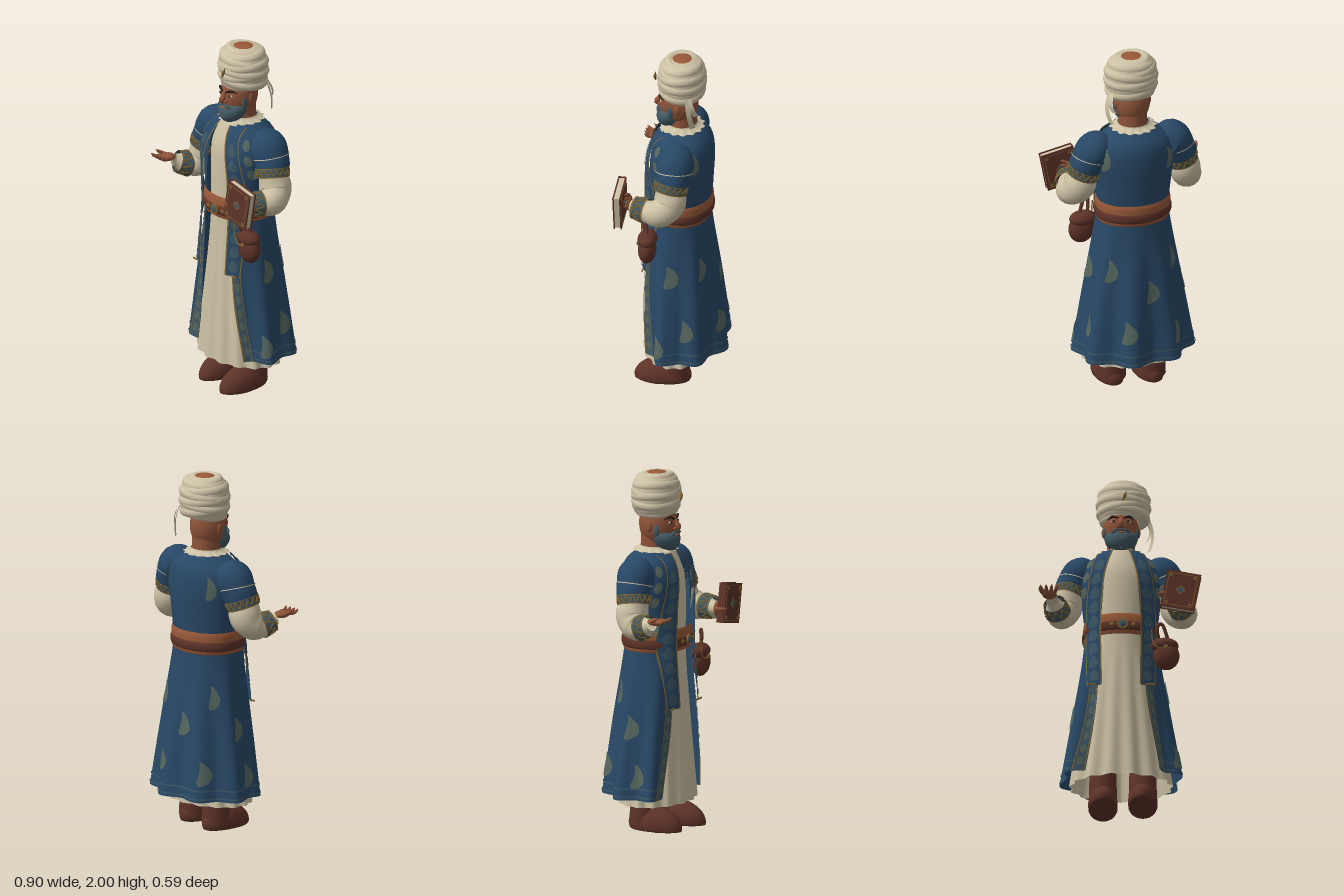
import * as THREE from 'three';
import { mergeVertices } from 'three/addons/utils/BufferGeometryUtils.js';

const V = (x, y, z) => new THREE.Vector3(x, y, z);
const mat = (name, color) => Object.assign(new THREE.MeshStandardMaterial({ color, side: THREE.DoubleSide }), { name });
const both = f => [-1, 1].forEach(f);

// Smooth lookup in rows of [y, value, value, ...]
function look(rows, y, k = 1) {
  const n = rows.length - 1;
  let i = 0;
  while (i < n - 1 && y > rows[i + 1][0]) i++;
  const slope = j => {
    const p = rows[Math.max(0, j - 1)], q = rows[Math.min(n, j + 1)];
    return (q[k] - p[k]) / (q[0] - p[0]);
  };
  const a = rows[i], b = rows[i + 1], h = b[0] - a[0];
  const t = THREE.MathUtils.clamp((y - a[0]) / h, 0, 1), u = 1 - t;
  return a[k] * (1 + 2 * t) * u * u + slope(i) * h * t * u * u + b[k] * t * t * (3 - 2 * t) - slope(i + 1) * h * t * t * u;
}

// Coat rows: y, half width, back depth, front depth, half opening
const COAT = [[0.2, 0.325, 0.25, 0.2, 0.21], [0.6, 0.265, 0.21, 0.2, 0.14], [1, 0.205, 0.16, 0.19, 0.115],
  [1.1, 0.2, 0.16, 0.19, 0.11], [1.25, 0.215, 0.168, 0.185, 0.1], [1.4, 0.23, 0.174, 0.175, 0.09],
  [1.5, 0.2, 0.155, 0.14, 0.08], [1.57, 0.1, 0.09, 0.09, 0.06]];
const GOWN = [[0.15, 0.28, 0.187], [0.6, 0.215, 0.165], [1, 0.165, 0.15], [1.4, 0.165, 0.145], [1.52, 0.12, 0.11], [1.58, 0.08, 0.08]];

// Point on the coat: angle a runs from the back (0) to the front (pi)
function coat(a, y, off = 0) {
  const s = Math.sin(a), c = -Math.cos(a);
  const w = off + Math.max(0, 1 - y) * 0.03 * Math.cos(8 * (a - 0.25));
  const z = c > 0 ? look(COAT, y, 3) * c ** 0.75 : look(COAT, y, 2) * c;
  return V(s * (look(COAT, y) + w), y, z - 0.03 + c * w);
}
const edge = y => Math.PI - Math.asin(look(COAT, y, 4) / look(COAT, y));
function frontZ(x, y) {
  const s = Math.min(0.95, Math.abs(x) / look(COAT, y));
  return look(COAT, y, 3) * Math.sqrt(1 - s * s) ** 0.75 - 0.03;
}

// Move each vertex of a geometry by a rule
function shape(g, f) {
  const p = g.attributes.position;
  for (let i = 0; i < p.count; i++) p.setXYZ(i, ...f(p.getX(i), p.getY(i), p.getZ(i), i).toArray());
  g.computeVertexNormals();
  return g;
}
const sheet = (f, nu, nv) => shape(new THREE.PlaneGeometry(1, 1, nu, nv), (x, y) => f(x + 0.5, y + 0.5));
const leaf = f => shape(new THREE.RingGeometry(0.02, 1, 18, 5), f);

// Tube whose radius follows a list
function limb(points, radii, n = 24, sides = 18) {
  const curve = new THREE.CatmullRomCurve3(points.map(p => V(...p)));
  const g = new THREE.TubeGeometry(curve, n, 1, sides);
  g.deleteAttribute('uv');
  shape(g, (x, y, z, i) => {
    const t = Math.floor(i / (sides + 1)) / n, c = curve.getPointAt(t);
    const f = t * (radii.length - 1), j = Math.min(radii.length - 2, Math.floor(f));
    return V(x, y, z).sub(c).multiplyScalar(THREE.MathUtils.lerp(radii[j], radii[j + 1], THREE.MathUtils.smoothstep(f - j, 0, 1))).add(c);
  });
  g.deleteAttribute('normal');
  const m = mergeVertices(g, 1e-5);
  m.computeVertexNormals();
  return m;
}
// Zigzag cord running round a sleeve from a to b
function zigzag(a, b, ra, rb, count) {
  const d = b.clone().sub(a), e = V(0, 0, 1).cross(d).normalize(), f = d.clone().cross(e).normalize();
  const pts = Array.from({ length: count * 2 }, (_, i) => {
    const t = i / count * Math.PI, k = i % 2 ? 0.8 : 0.2, r = ra + (rb - ra) * k;
    return a.clone().addScaledVector(d, k).addScaledVector(e, r * Math.cos(t)).addScaledVector(f, r * Math.sin(t));
  });
  return new THREE.TubeGeometry(new THREE.CatmullRomCurve3(pts, true), count * 8, 0.0045, 5, true);
}
const ball = (x, y, z, a, b, c) => new THREE.SphereGeometry(1, 28, 20).scale(a, b, c).translate(x, y, z);
const box = (x, y, z, a, b, c) => new THREE.BoxGeometry(a, b, c).translate(x, y, z);

export function createModel() {
  const root = new THREE.Group();
  const cream = mat('cream cloth', 0xcdc2a5), blue = mat('blue cloth', 0x284866), pattern = mat('patterned trim', 0x3d5765);
  const gold = mat('gold', 0x80642e), skin = mat('skin', 0x8e5339), leather = mat('tan leather', 0x985838);
  const brown = mat('brown leather', 0x5e3328), hair = mat('grey beard', 0x435a64), dark = mat('dark', 0x241c1a), faded = mat('faded motif', 0x56675f);
  const add = (name, g, m, parent = root) => {
    const mesh = new THREE.Mesh(g, m);
    mesh.name = name;
    parent.add(mesh);
    return mesh;
  };

  // Gown, coat and hem lines
  add('gown', sheet((u, v) => {
    const a = u * Math.PI * 2, y = 0.155 + v * 1.425, w = Math.max(0, 1 - y) * 0.011 * Math.cos(15 * a);
    return V(Math.sin(a) * (look(GOWN, y) + w), y, -0.01 - Math.cos(a) * (look(GOWN, y, 2) + w));
  }, 120, 40), cream);
  add('coat', sheet((u, v) => coat((u * 2 - 1) * edge(0.2 + v * 1.37), 0.2 + v * 1.37), 120, 70), blue);
  for (const y of [0.215, 0.26]) add('hemLine', sheet((u, v) => coat((u * 2 - 1) * edge(y), y + v * 0.008, 0.004), 120, 1), pattern);
  // Leaf motifs on the coat
  const motifs = [[-0.2, 0.62], [0.75, 0.75], [-0.95, 0.78], [0.3, 0.4], [-0.7, 0.36], [1.25, 0.4], [1.6, 0.72], [-1.55, 0.6],
    [1.85, 0.3], [-1.75, 0.33], [0.95, 1.42], [-0.85, 1.4]];
  for (const [a, y] of motifs) add('leafMotif', leaf((u, w) =>
    coat(a + (u * (1 - 0.5 * w) * 0.03 + 0.025 * w * w) / 0.24, y + w * 0.068, 0.006)), faded);

  // Edge trim and hanging panels on both sides of the opening
  const mid = [[0.7, 0.148], [1.1, 0.152], [1.35, 0.135], [1.555, 0.085]];
  both(s => {
    const onEdge = (k, y, off) => coat(s * (edge(y) - k), y, off);
    for (const [k0, k1] of [[0, 0.03], [0.2, 0.222]]) add('coatTrimLine', sheet((u, v) =>
      onEdge(k0 + u * (k1 - k0), 0.2 + v * 0.85, 0.005), 3, 40), gold);
    add('coatTrim', sheet((u, v) => onEdge(0.03 + u * 0.17, 0.2 + v * 0.85, 0.003), 6, 40), pattern);
    for (let y = 0.26; y < 0.7; y += 0.075) add('trimLeaf', leaf((u, w) => onEdge(0.115 + u * 0.055, y + w * 0.026, 0.006)), faded);
    const onPanel = (dx, y, off) => {
      const x = look(mid, y) + dx;
      return V(s * x, y, frontZ(x, y) + off);
    };
    const strip = (name, x0, x1, off, m) => add(name, sheet((u, v) => onPanel(x0 + u * (x1 - x0), 0.7 + v * 0.855, off), 6, 44), m);
    strip('frontPanel', -0.04, 0.04, 0.026, blue);
    strip('panelInnerLine', -0.044, -0.036, 0.029, gold);
    strip('panelOuterLine', 0.037, 0.042, 0.029, gold);
    for (let y = 0.76; y < 1.5; y += 0.085) {
      add('panelLeaf', leaf((u, w) => onPanel(u * 0.024 * (1 - 0.4 * w), y + w * 0.036, 0.029)), pattern);
      if (y > 1.25) add('chestLeaf', leaf((u, w) => onPanel(0.064 + u * 0.016, y + 0.03 + w * 0.03, 0.01)), faded);
    }
    add('panelHem', box(s * 0.148, 0.704, frontZ(0.148, 0.7) + 0.028, 0.072, 0.008, 0.006), gold);
  });

  // Belt wrapped over the coat, with a buckle and studs
  const band = (name, y0, y1, bulge, m) => add(name, sheet((u, v) =>
    coat(u * Math.PI * 2, y0 + v * (y1 - y0), bulge * Math.sin(Math.PI * v) ** 0.4), 90, 10), m);
  band('sash', 1.015, 1.14, 0.01, leather);
  band('belt', 1.03, 1.095, 0.016, brown);
  add('buckle', new THREE.CylinderGeometry(0.03, 0.03, 0.012, 8).rotateX(Math.PI / 2).translate(0.01, 1.066, 0.177), gold);
  add('buckleStone', ball(0.01, 1.066, 0.183, 0.02, 0.02, 0.006), pattern);
  both(s => add('beltStud', ball(0.01 + s * 0.06, 1.066, frontZ(0.06, 1.066) + 0.017, 0.013, 0.013, 0.006), gold));

  // Collar with a notched edge
  add('collar', sheet((u, v) => {
    const a = u * Math.PI * 2, r = 0.083 + (1 - v) ** 2 * (0.038 + 0.008 * Math.cos(14 * a));
    return V(Math.sin(a) * r * 1.05, 1.563 + v * 0.025, -0.025 - Math.cos(a) * r);
  }, 84, 6), cream);

  // Arms; s = -1 is the open hand, s = 1 holds the book
  both(s => {
    const P = list => list.map(([x, y, z]) => [s * x, y, z]);
    add('upperSleeve', limb(P([[0.14, 1.45, -0.035], [0.215, 1.452, -0.03], [0.265, 1.38, -0.025], [0.288, 1.3, -0.01]]), [0.07, 0.106, 0.096, 0.087]), blue);
    add('sleeveSeam', limb(P([[0.254, 1.41, -0.027], [0.2555, 1.405, -0.027]]), [0.102, 0.102], 1, 28), cream);
    // Trim bands with edge cords and a zigzag
    const trim = (name, a, b, ra, rb, count) => {
      const at = t => a.map((c, i) => c + (b[i] - c) * t);
      add(name, limb(P([a, b]), [ra, rb], 3, 26), pattern);
      for (const t of [0, 0.88]) add(name + 'Line', limb(P([at(t), at(t + 0.12)]), [ra, ra].map(r => r + 0.002 + (rb - ra) * t), 1, 26), gold);
      add(name + 'Zigzag', zigzag(V(...P([a])[0]), V(...P([b])[0]), ra, rb, count), gold);
    };
    trim('sleeveBand', [0.274, 1.349, -0.018], [0.289, 1.298, -0.01], 0.094, 0.091, 16);
    if (s < 0) trim('cuff', [0.347, 1.187, 0.062], [0.367, 1.21, 0.128], 0.072, 0.06, 10);
    else trim('cuff', [0.333, 1.187, 0.11], [0.313, 1.19, 0.185], 0.072, 0.06, 10);
    const end = s < 0 ? [0.378, 1.222, 0.145] : [0.3, 1.19, 0.205];
    add('lowerSleeve', limb(P([[0.285, 1.33, -0.01], [0.31, 1.23, -0.01], [0.34, 1.185, 0.045], end]), [0.08, 0.09, 0.083, 0.06, 0.035], 30), cream);
  });

  // Open hand, and the hand behind the book
  const finger = (name, pts) => add(name, limb(pts, [0.011, 0.011, 0.01, 0.009, 0.002], 12, 8), skin);
  add('openPalm', ball(-0.393, 1.243, 0.178, 0.04, 0.02, 0.046), skin);
  add('grippingPalm', ball(0.275, 1.195, 0.222, 0.042, 0.045, 0.02), skin);
  for (let i = 0; i < 4; i++) {
    const x = -0.424 + i * 0.02, y = 1.17 + i * 0.025;
    finger('openFinger', [[x, 1.248, 0.2], [x - 0.012 + i * 0.006, 1.25, 0.232], [x - 0.02 + i * 0.012, 1.268, 0.26 - Math.abs(i - 1.5) * 0.005]]);
    finger('gripFinger', [[0.28, y, 0.222], [0.305, y + 0.015, 0.23], [0.335, y + 0.03, 0.23]]);
  }
  finger('openThumb', [[-0.415, 1.245, 0.16], [-0.44, 1.26, 0.19], [-0.45, 1.278, 0.215]]);
  finger('gripThumb', [[0.265, 1.2, 0.22], [0.222, 1.205, 0.245], [0.226, 1.205, 0.28], [0.255, 1.2, 0.291]]);

  // Book
  const book = new THREE.Group();
  book.name = 'book';
  book.position.set(0.33, 1.22, 0.262);
  book.rotation.z = -0.187;
  root.add(book);
  add('pages', box(0, 0, 0, 0.178, 0.21, 0.032), cream, book);
  add('spine', box(-0.092, 0, 0, 0.007, 0.222, 0.044), brown, book);
  both(s => {
    const gem = (name, x, y, r, h, m) => add(name, new THREE.CylinderGeometry(r, r, h, 4).rotateX(Math.PI / 2).translate(x, y, s * 0.0228), m, book);
    add('cover', box(0, 0, s * 0.019, 0.19, 0.222, 0.007), brown, book);
    both(t => {
      add('coverLineUpright', box(t * 0.08, 0, s * 0.0228, 0.004, 0.196, 0.002), gold, book);
      add('coverLineAcross', box(0, t * 0.096, s * 0.0228, 0.16, 0.004, 0.002), gold, book);
      both(r => gem('coverCorner', t * 0.066, r * 0.082, 0.011, 0.003, gold));
    });
    gem('coverDiamond', 0, 0, 0.028, 0.003, gold);
    gem('coverDiamondCentre', 0, 0, 0.02, 0.005, pattern);
  });

  // Pouch on the belt
  add('pouch', ball(0.25, 0.892, 0.125, 0.073, 0.082, 0.05), brown);
  add('pouchFlap', ball(0.24, 0.953, 0.125, 0.078, 0.045, 0.054), brown);
  add('pouchClasp', ball(0.25, 0.925, 0.176, 0.012, 0.014, 0.008), gold);
  add('pouchStrap', limb([[0.21, 0.97, 0.14], [0.2, 1.05, 0.16], [0.225, 1.08, 0.14], [0.25, 1.02, 0.13], [0.265, 0.97, 0.12]], [0.01, 0.01], 20, 8), brown);
  add('pouchCord', limb([[0.17, 1.03, 0.17], [0.18, 0.95, 0.17], [0.21, 0.92, 0.176], [0.25, 0.925, 0.178]], [0.004, 0.004], 16, 6), gold);

  // Boots, one a little ahead
  both(s => {
    const x = s * 0.11 + 0.01, z = s < 0 ? -0.035 : 0;
    add('bootFoot', shape(ball(x, 0.035, 0.06 + z, 0.082, 0.1, 0.16), (a, b, c) => V(a, Math.max(0, b - Math.max(0, c - z - 0.06) * 0.12), c)), brown);
    add('bootShaft', limb([[x, 0.03, -0.01], [x, 0.14, -0.012], [x, 0.3, -0.03], [x, 0.5, -0.03]].map(([a, b, c]) => [a, b, c + z]), [0.08, 0.076, 0.07, 0.075], 16), brown);
  });

  // Head and face, with a beard tapering to the chin
  add('neck', new THREE.CylinderGeometry(0.076, 0.08, 0.2, 28).translate(0, 1.61, -0.028), skin);
  add('head', ball(0, 1.71, -0.008, 0.099, 0.135, 0.108), skin);
  add('nose', limb([[0, 1.75, 0.088], [0, 1.715, 0.108], [0, 1.695, 0.117], [0, 1.682, 0.1]], [0.009, 0.012, 0.017, 0.008], 12, 12), skin);
  add('beard', shape(ball(0, 1.625, 0.038, 0.1, 0.075, 0.075), (x, y, z) => {
    const low = Math.max(0, 1.66 - y) / 0.11;
    return V(x * (1 - 0.38 * low), y, z + 0.012 * low - Math.max(0, y - 1.65) * 0.3);
  }), hair);
  add('mouth', ball(0, 1.653, 0.107, 0.022, 0.007, 0.008), leather);
  both(s => {
    add('nostril', ball(s * 0.015, 1.69, 0.102, 0.01, 0.009, 0.012), skin);
    add('ear', ball(s * 0.097, 1.705, -0.015, 0.01, 0.03, 0.018), skin);
    add('sideburn', ball(s * 0.089, 1.685, 0.025, 0.01, 0.035, 0.018), hair);
    add('moustache', limb([[0, 1.671, 0.108], [s * 0.03, 1.667, 0.106], [s * 0.058, 1.645, 0.088]], [0.006, 0.009, 0.002], 10, 8), hair);
    add('eyebrow', limb([[s * 0.015, 1.744, 0.1], [s * 0.045, 1.757, 0.09], [s * 0.075, 1.747, 0.066]], [0.005, 0.007, 0.002], 10, 8), dark);
    add('eyeWhite', ball(s * 0.04, 1.727, 0.087, 0.016, 0.007, 0.007), cream);
    add('pupil', ball(s * 0.04, 1.727, 0.093, 0.008, 0.007, 0.004), dark);
  });

  // Turban: core, tilted wraps, cap, pin and tails
  const turban = new THREE.Group();
  turban.name = 'turban';
  turban.position.set(0.013, 0, -0.027);
  turban.scale.set(1.06, 1, 0.94);
  root.add(turban);
  const core = [[0.1, 1.765], [0.126, 1.775], [0.137, 1.83], [0.137, 1.91], [0.12, 1.96], [0.09, 1.988], [0.04, 1.994], [0, 1.994]];
  add('turbanCore', new THREE.LatheGeometry(core.map(p => new THREE.Vector2(...p)), 48), cream, turban);
  const wraps = [[1.785, 0.1, 0.026, 0.08], [1.808, 0.108, 0.032, -0.13], [1.838, 0.112, 0.032, 0.14], [1.866, 0.113, 0.033, -0.09],
    [1.895, 0.111, 0.033, 0.12], [1.922, 0.104, 0.033, -0.1], [1.945, 0.092, 0.033, 0.07], [1.965, 0.077, 0.028, -0.03]];
  wraps.forEach(([y, r, t, tilt], i) => {
    const w = add('turbanWrap', new THREE.TorusGeometry(r, t, 14, 56).rotateX(Math.PI / 2), cream, turban);
    w.position.y = y;
    w.rotation.set(i % 2 ? -0.05 : 0.06, 0, tilt);
  });
  add('cap', ball(0, 1.988, 0, 0.057, 0.012, 0.06), leather, turban);
  add('turbanPin', limb([[0.01, 1.84, 0.122], [0.02, 1.865, 0.124], [0.03, 1.9, 0.118]], [0.004, 0.009, 0.002], 10, 8), gold);
  both(s => add('turbanTail', sheet((u, v) => {
    const w = (u - 0.5) * (0.018 + 0.01 * (1 - v));
    return V(0.148 + 0.02 * Math.sin(v * Math.PI) + s * 0.006 + w * 0.7, 1.67 - s * 0.035 + v * (0.14 + s * 0.035), -0.12 + s * 0.008 + v * 0.035 + w);
  }, 4, 14), cream));
  return root;
}
